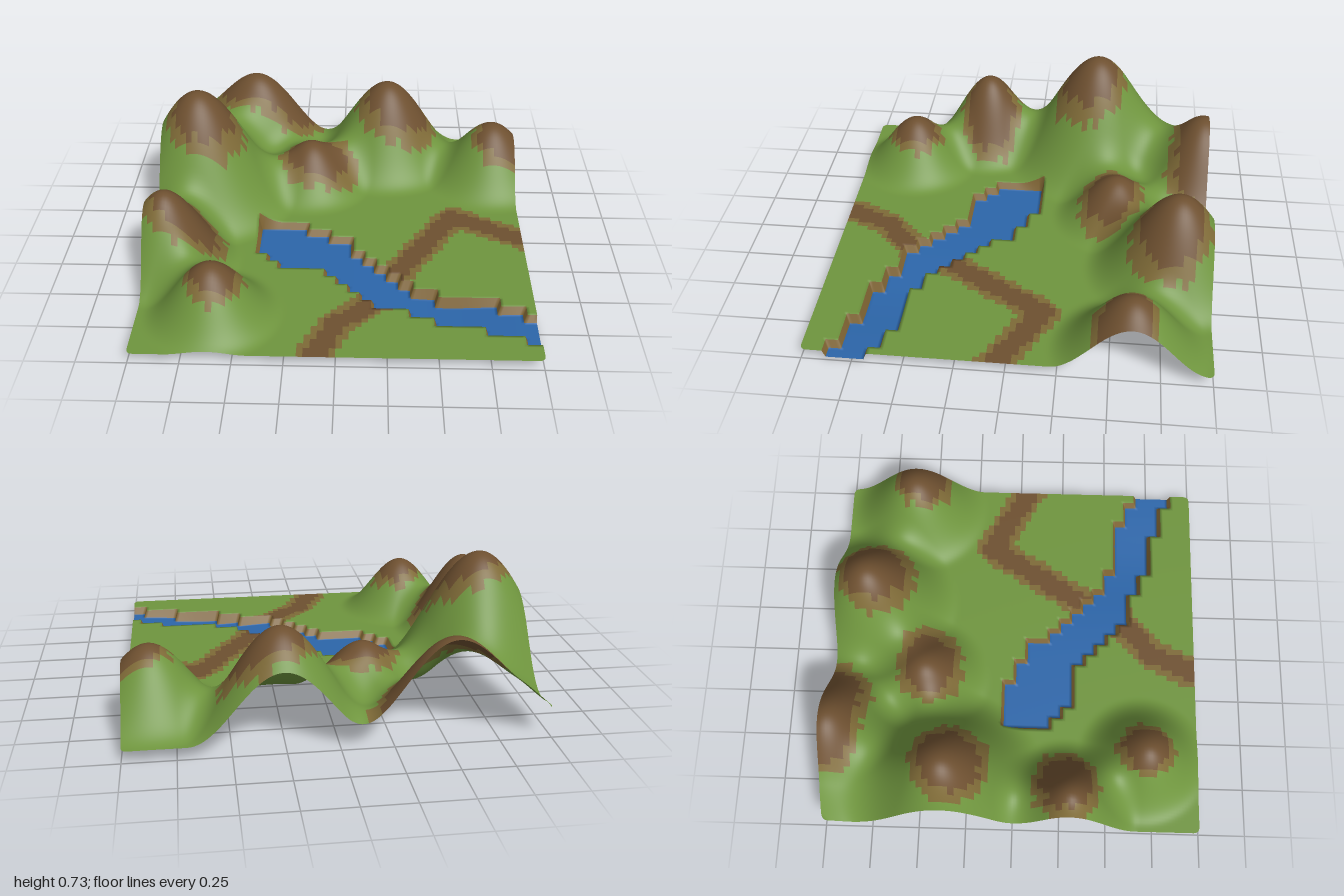
import * as THREE from 'three';

const N = 128;               // terrain cells per side
const GROUND = 0.06;

// hills: centre x, z, height above ground, radius, rock patch x, z, half-width, half-depth
const HILLS = [
  [-0.80, -0.36, 0.67, 0.56, -0.76, -0.32, 0.20, 0.19],
  [-0.90, 0.29, 0.45, 0.39, -0.80, 0.27, 0.20, 0.17],
  [-0.62, 0.70, 0.31, 0.36, -0.60, 0.70, 0.14, 0.15],
  [0.26, -0.82, 0.495, 0.48, 0.32, -0.78, 0.23, 0.20],
  [0.87, -0.60, 0.35, 0.41, 0.94, -0.56, 0.18, 0.16],
  [-0.18, -0.50, 0.27, 0.36, -0.14, -0.47, 0.22, 0.17],
  [-0.42, -0.95, 0.28, 0.42, -0.38, -0.97, 0.23, 0.19],
  [-0.69, -1.00, 0.30, 0.50, -0.58, -0.99, 0.20, 0.19],
];

// footpaths on either side of the river
const PATHS = [
  [[0.28, 0.40], [0.63, -0.16], [1.02, 0.06]],
  [[0.20, 0.58], [0.00, 0.76], [-0.12, 1.02]],
];

// stepped river: first and last bank row for each column, in sixteenths
const RIVER_X0 = -7;
const RIVER_TOP = [-1, -1, -1, -1, 0, 0, 1, 1, 3, 4, 5, 6, 7, 8, 8, 9, 9, 9, 9, 9, 10, 10, 11];
const RIVER_END = [3, 4, 5, 5, 5, 5, 6, 7, 8, 9, 10, 10, 10, 11, 11, 12, 12, 12, 12, 13, 13, 13, 14];

const COLORS = {
  grass: 0x6f953e, rock: 0x6e5030, rockEdge: 0x7e6a37, path: 0x6e5030,
  pathEdge: 0x7e6a37, riverBank: 0x7d6232, water: 0x2c66aa,
};

const coord = (i) => -1 + (2 * i) / N;
const clamp = (v, a, b) => Math.min(b, Math.max(a, v));

// repeatable noise from 0 to 1 for ragged patch borders
function noise(a, b) {
  const s = Math.sin(a * 12.9898 + b * 78.233) * 43758.5453;
  return s - Math.floor(s);
}

function isWater(i, j) {
  if (i < 0 || j < 0 || i >= N || j >= N) return false;
  const c = Math.floor((i + 0.5) / (N / 32)) - 16 - RIVER_X0;
  const r = Math.floor((j + 0.5) / (N / 32)) - 16;
  return c >= 0 && c < RIVER_TOP.length && r >= RIVER_TOP[c] && r < RIVER_END[c];
}

// true if any cell touching vertex i, j is water
const touchesWater = (i, j) =>
  isWater(i, j) || isWater(i - 1, j) || isWater(i, j - 1) || isWater(i - 1, j - 1);

function height(i, j) {
  const x = coord(i), z = coord(j);
  if (touchesWater(i, j)) return 0.022 * (1 - Math.exp(-(((x - 0.55) / 0.28) ** 2)));
  let y = GROUND;
  for (const [hx, hz, h, r] of HILLS) {
    const d = Math.hypot(x - hx, z - hz) / r;
    if (d < 1) y += (h * (1 + Math.cos(Math.PI * d))) / 2;
  }
  return y;
}

function segmentDistance(x, z, [ax, az], [bx, bz]) {
  const dx = bx - ax, dz = bz - az;
  const t = clamp(((x - ax) * dx + (z - az) * dz) / (dx * dx + dz * dz), 0, 1);
  return Math.hypot(x - ax - t * dx, z - az - t * dz);
}

// which surface a cell belongs to; patches are painted in coarse squares
function surfaceOf(i, j) {
  if (isWater(i, j)) return 'water';
  for (const [u, v] of [[0, 0], [1, 0], [0, 1], [1, 1]]) {
    if (touchesWater(i + u, j + v)) return 'riverBank';
  }
  const p = Math.floor(i / 2), q = Math.floor(j / 2);
  const x = coord(p * 2 + 1), z = coord(q * 2 + 1);
  let rock = 9;
  for (const h of HILLS) {
    rock = Math.min(rock, Math.hypot((x - h[4]) / h[6], (z - h[5]) / h[7]));
  }
  rock += (noise(p, q) - 0.5) * 0.16;
  if (rock < 0.8) return 'rock';
  if (rock < 1.05) return 'rockEdge';
  let path = 9;
  for (const line of PATHS) {
    for (let k = 0; k + 1 < line.length; k++) {
      path = Math.min(path, segmentDistance(x, z, line[k], line[k + 1]));
    }
  }
  if (path < 0.055) return 'path';
  return path < 0.09 ? 'pathEdge' : 'grass';
}

// one smooth height grid with slightly rounded corners
function terrainGrid() {
  const positions = [], index = [], r = 0.03;
  for (let j = 0; j <= N; j++) {
    for (let i = 0; i <= N; i++) {
      let x = coord(i), z = coord(j);
      const cx = clamp(x, r - 1, 1 - r), cz = clamp(z, r - 1, 1 - r);
      const d = Math.hypot(x - cx, z - cz);
      if (d > r) {
        x = cx + ((x - cx) * r) / d;
        z = cz + ((z - cz) * r) / d;
      }
      positions.push(x, height(i, j), z);
    }
  }
  const groups = {};
  for (let j = 0; j < N; j++) {
    for (let i = 0; i < N; i++) {
      const a = j * (N + 1) + i, b = a + 1, c = a + N + 1, d = c + 1;
      const cell = [a, c, b, b, c, d];
      index.push(...cell);
      (groups[surfaceOf(i, j)] ??= []).push(...cell);
    }
  }
  const grid = new THREE.BufferGeometry();
  grid.setAttribute('position', new THREE.Float32BufferAttribute(positions, 3));
  grid.setIndex(index);
  grid.computeVertexNormals();
  return { grid, groups };
}

export function createModel() {
  const model = new THREE.Group();
  model.name = 'landscape';
  const { grid, groups } = terrainGrid();
  // each surface takes its own cells but keeps the shared smooth normals
  for (const [name, cells] of Object.entries(groups)) {
    grid.setIndex(cells);
    const material = new THREE.MeshStandardMaterial({ color: COLORS[name], side: THREE.DoubleSide });
    const mesh = new THREE.Mesh(grid.toNonIndexed(), material);
    mesh.name = name;
    model.add(mesh);
  }
  return model;
}
